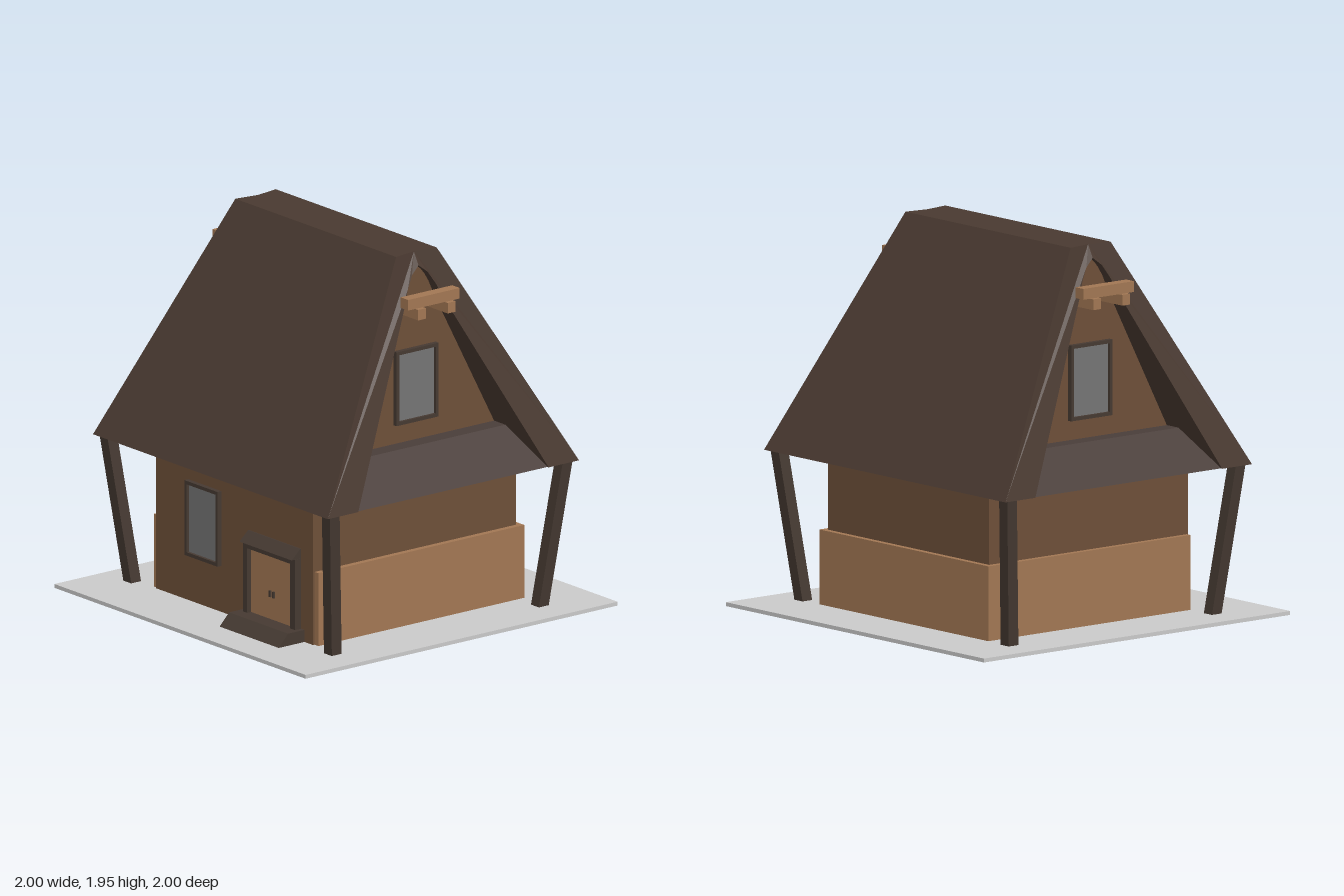
import * as THREE from 'three';

const COLORS = {
  roof: 0x4a3a31, timber: 0x463a32, wall: 0x6e5039, plinth: 0xa37854,
  glass: 0x757575, skirt: 0x4a3e3a, slab: 0xcccccc,
};
const mats = {};
const mat = (key) => (mats[key] ??= new THREE.MeshStandardMaterial({ color: COLORS[key], flatShading: true }));

function mesh(name, geometry, key) {
  const m = new THREE.Mesh(geometry, mat(key));
  m.name = name;
  return m;
}

// Box given by its minimum and maximum corners
function box(name, key, [x0, y0, z0], [x1, y1, z1]) {
  const g = new THREE.BoxGeometry(x1 - x0, y1 - y0, z1 - z0);
  g.translate((x0 + x1) / 2, (y0 + y1) / 2, (z0 + z1) / 2);
  return mesh(name, g, key);
}

// Prism from a profile, extruded symmetrically along z
function prism(points, length) {
  const shape = new THREE.Shape(points.map(([x, y]) => new THREE.Vector2(x, y)));
  const g = new THREE.ExtrudeGeometry(shape, { depth: length, bevelEnabled: false });
  return g.translate(0, 0, -length / 2);
}

// Mirror a half profile (from outer bottom to the middle) into a full one
const mirrored = (half) => [...half, ...half.filter(([a]) => a > 0).reverse().map(([a, b]) => [-a, b])];

// Framed window in the xy plane, facing +z, with its back on z = 0
function windowUnit(w, h) {
  const g = new THREE.Group();
  g.name = 'window';
  const t = 0.018, x = w / 2, y = h / 2, d = 0.025;
  for (const s of [-1, 1]) {
    const jx = s * (x - t / 2), ry = s * (y - t / 2);
    g.add(box('windowJamb', 'timber', [jx - t / 2, -y, -0.01], [jx + t / 2, y, d]));
    g.add(box('windowRail', 'timber', [t - x, ry - t / 2, -0.01], [x - t, ry + t / 2, d]));
  }
  g.add(box('windowGlass', 'glass', [t - x, t - y, -0.01], [x - t, y - t, 0.01]));
  return g;
}

// Thick steep roof whose ends lean inward towards the ridge
function roof() {
  const outer = mirrored([[0.805, 0.78], [0.13, 1.95], [0, 1.95]]);
  const inner = mirrored([[0.61, 0.78], [0.126, 1.7], [0.09, 1.78], [0.05, 1.845], [0, 1.885]]).reverse();
  const g = prism([...outer, ...inner], 2).rotateY(Math.PI / 2);
  const p = g.attributes.position;
  for (let i = 0; i < p.count; i++) {
    const y = p.getY(i);
    const notch = y > 1.94 && Math.abs(p.getZ(i)) < 0.01 ? 0.02 : 0;
    p.setX(i, Math.sign(p.getX(i)) * (0.935 - 0.252 * (y - 0.78) - notch));
  }
  g.computeVertexNormals();
  return mesh('roof', g, 'roof');
}

// Square post leaning outward towards its top
function post(sx, sz) {
  const g = new THREE.BoxGeometry(0.063, 0.77, 0.063);
  const p = g.attributes.position;
  for (let i = 0; i < p.count; i++) {
    const top = p.getY(i) > 0;
    p.setX(i, p.getX(i) + sx * (top ? 0.886 : 0.798));
    p.setZ(i, p.getZ(i) + sz * (top ? 0.747 : 0.663));
  }
  g.translate(0, 0.4, 0);
  g.computeVertexNormals();
  return mesh('post', g, 'timber');
}

function door() {
  const g = new THREE.Group();
  g.name = 'door';
  g.add(box('doorPanel', 'plinth', [0.15, 0.08, 0.64], [0.49, 0.42, 0.665]));
  g.add(box('doorJamb', 'timber', [0.115, 0.08, 0.64], [0.15, 0.45, 0.69]));
  g.add(box('doorJamb', 'timber', [0.49, 0.08, 0.64], [0.53, 0.45, 0.69]));
  g.add(box('doorHead', 'timber', [0.15, 0.42, 0.64], [0.49, 0.45, 0.69]));
  for (const x of [0.302, 0.33]) g.add(box('doorHandle', 'timber', [x, 0.2, 0.66], [x + 0.012, 0.233, 0.675]));
  // Sloped lintel and step, with profiles running along x
  const along = (name, pts, width) => {
    const m = mesh(name, prism(pts.map(([z, y]) => [-z, y]), width).rotateY(Math.PI / 2), 'timber');
    m.position.x = 0.321;
    g.add(m);
  };
  along('doorLintel', [[0.64, 0.45], [0.71, 0.45], [0.655, 0.5], [0.64, 0.5]], 0.415);
  along('doorStep', [[0.64, 0.02], [0.815, 0.02], [0.755, 0.083], [0.64, 0.083]], 0.47);
  return g;
}

// Skirt roof, window and hoist beam of the +x gable
function gable() {
  const g = new THREE.Group();
  g.name = 'gable';
  g.add(mesh('skirtRoof', prism([[0.6, 0.782], [0.93, 0.782], [0.715, 0.97], [0.6, 0.97]], 1.22), 'skirt'));
  const win = windowUnit(0.27, 0.385);
  win.rotation.y = Math.PI / 2;
  win.position.set(0.625, 1.262, 0);
  g.add(win);
  g.add(box('hoistBeam', 'plinth', [0.72, 1.71, -0.165], [0.78, 1.765, 0.165]));
  for (const z of [-0.095, 0.095]) {
    g.add(box('beamBracket', 'plinth', [0.6, 1.655, z - 0.025], [0.803, 1.71, z + 0.025]));
  }
  return g;
}

export function createModel() {
  const house = new THREE.Group();
  house.name = 'house';

  house.add(box('groundSlab', 'slab', [-1, 0, -1], [1, 0.02, 1]));
  house.add(box('plinth', 'plinth', [-0.655, 0.02, -0.68], [0.655, 0.4, 0.64]));

  // Walls with pointed gables
  const profile = mirrored([[0.65, 0.02], [0.65, 0.8], [0.15, 1.72], [0, 1.9]]);
  house.add(mesh('walls', prism(profile, 1.25).rotateY(Math.PI / 2), 'wall'));
  house.add(roof());

  const frontWindow = windowUnit(0.265, 0.39);
  frontWindow.position.set(-0.237, 0.455, 0.65);
  house.add(frontWindow, door());

  const left = gable(), right = gable();
  right.rotation.y = Math.PI;
  house.add(left, right);

  for (const sx of [-1, 1]) for (const sz of [-1, 1]) house.add(post(sx, sz));
  return house;
}
